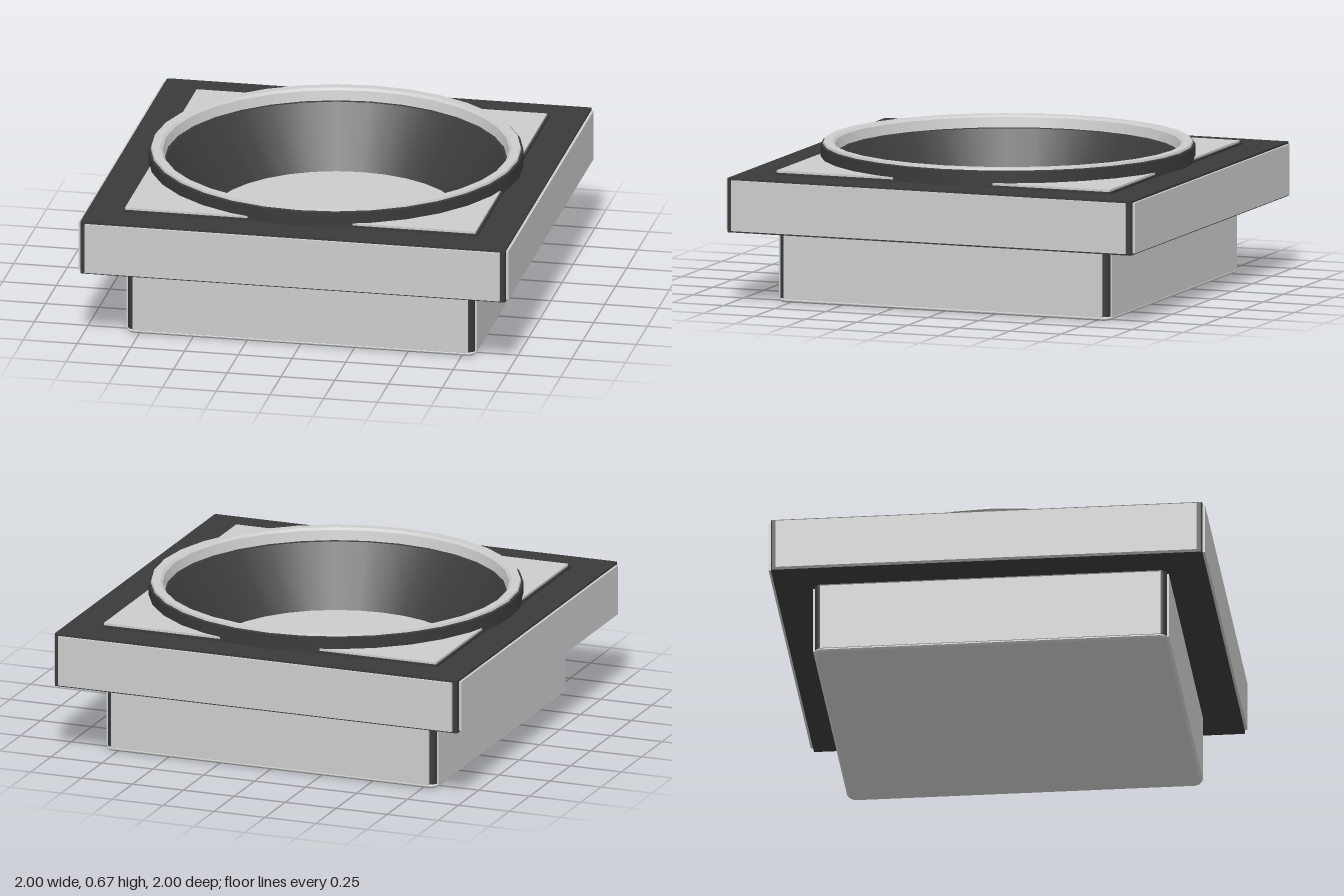
import * as THREE from 'three';

const light = new THREE.MeshStandardMaterial({ color: 0xcccccc });
const dark = new THREE.MeshStandardMaterial({ color: 0x3a3a3a });
const darkOpen = new THREE.MeshStandardMaterial({ color: 0x3a3a3a, side: THREE.DoubleSide });
const SEG = 32;

function add(group, name, geometry, material) {
  const mesh = new THREE.Mesh(geometry, material);
  mesh.name = name;
  group.add(mesh);
  return mesh;
}

// Square outline with rounded corners
function square(half, r) {
  const s = new THREE.Shape();
  const c = half - r;
  s.moveTo(-c, -half);
  s.lineTo(c, -half);
  s.absarc(c, -c, r, -Math.PI / 2, 0);
  s.absarc(c, c, r, 0, Math.PI / 2);
  s.absarc(-c, c, r, Math.PI / 2, Math.PI);
  s.absarc(-c, -c, r, Math.PI, Math.PI * 1.5);
  return s;
}

// Horizontal square slab from y0 to y1, with an optional round opening
function slab(half, r, y0, y1, hole = 0, bevel = 0) {
  const s = square(half - bevel, r);
  if (hole) s.holes.push(new THREE.Path().absarc(0, 0, hole, 0, Math.PI * 2, true));
  const g = new THREE.ExtrudeGeometry(s, {
    depth: y1 - y0 - 2 * bevel, curveSegments: hole ? SEG : 4,
    bevelEnabled: bevel > 0, bevelSize: bevel, bevelThickness: bevel, bevelSegments: 1,
  });
  return g.rotateX(-Math.PI / 2).translate(0, y0 + bevel, 0);
}

// Four identical side panels standing slightly proud of a core
function sidePanels(group, name, halfWidth, face, y0, y1) {
  for (let i = 0; i < 4; i++) {
    const g = new THREE.BoxGeometry(halfWidth * 2, y1 - y0, 0.04);
    g.translate(0, (y0 + y1) / 2, face - 0.02).rotateY(i * Math.PI / 2);
    add(group, name + (i + 1), g, light);
  }
}

// Surface of revolution with hard edges: each profile segment is its own band
function bands(group, name, profile, material) {
  for (let i = 0; i < profile.length - 1; i++) {
    const pts = [profile[i], profile[i + 1]].map(([r, y]) => new THREE.Vector2(r, y));
    add(group, name + (i + 1), new THREE.LatheGeometry(pts, SEG), material);
  }
}

export function createModel() {
  const model = new THREE.Group();

  // Lower base: dark core, light panels and a bevelled bottom plate
  const base = new THREE.Group();
  base.name = 'base';
  add(base, 'baseCore', slab(0.807, 0.03, 0.018, 0.34), dark);
  sidePanels(base, 'basePanel', 0.78, 0.815, 0.015, 0.328);
  add(base, 'bottomPlate', slab(0.812, 0.035, 0, 0.02, 0, 0.008), light);
  model.add(base);

  // Wide upper frame with panels on its sides
  const frame = new THREE.Group();
  frame.name = 'frame';
  add(frame, 'frameCore', slab(0.988, 0.008, 0.337, 0.587, 0.79), dark);
  sidePanels(frame, 'framePanel', 0.965, 1, 0.345, 0.578);
  add(frame, 'plateTrim', slab(0.825, 0.004, 0.58, 0.597, 0.79), dark);
  add(frame, 'topPlate', slab(0.815, 0.004, 0.59, 0.607, 0.79), light);
  model.add(frame);

  // Raised rim: dark outside, light lip
  const rim = new THREE.Group();
  rim.name = 'rim';
  bands(rim, 'rimOuter', [[0.79, 0.59], [0.855, 0.59], [0.855, 0.66], [0.845, 0.664]], darkOpen);
  const lipMaterial = light.clone();
  lipMaterial.side = THREE.DoubleSide;
  bands(rim, 'rimLip', [[0.845, 0.664], [0.842, 0.674], [0.802, 0.674], [0.79, 0.664], [0.78, 0.615]], lipMaterial);
  model.add(rim);

  // Recessed bowl: tapered dark wall and a flat light floor
  const bowl = new THREE.Group();
  bowl.name = 'bowl';
  bands(bowl, 'bowlWall', [[0.785, 0.62], [0.772, 0.615], [0.572, 0.35]], darkOpen);
  const floor = new THREE.CircleGeometry(0.574, SEG).rotateX(-Math.PI / 2).translate(0, 0.35, 0);
  add(bowl, 'bowlFloor', floor, light);
  model.add(bowl);

  return model;
}
